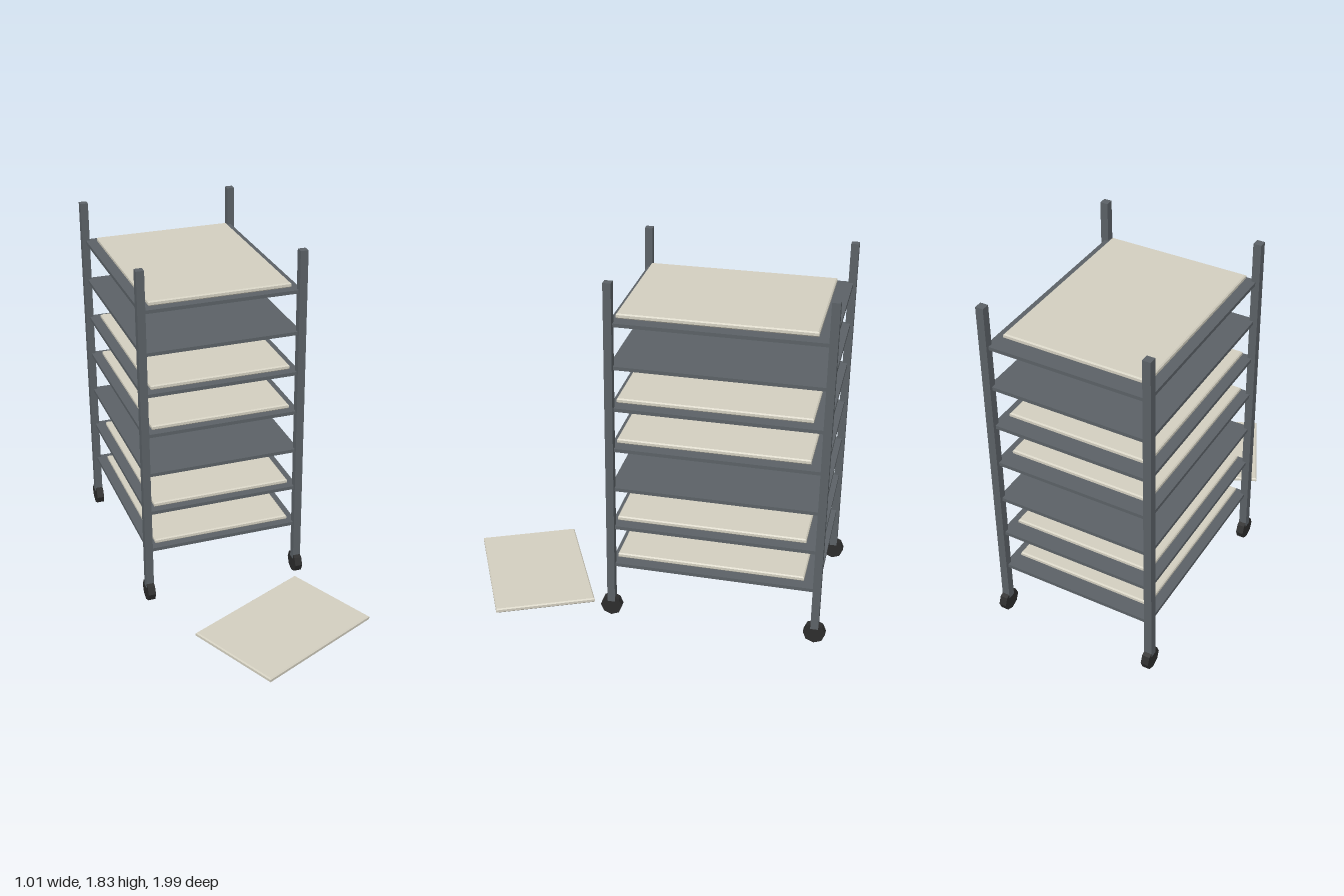
import * as THREE from 'three';

const frameMat = new THREE.MeshStandardMaterial({ color: 0x5b6166, flatShading: true });
const wheelMat = new THREE.MeshStandardMaterial({ color: 0x2c2c2c, flatShading: true });
const boardMat = new THREE.MeshStandardMaterial({ color: 0xd3cfc0, flatShading: true });

function add(parent, name, geometry, material, x, y, z) {
  const mesh = new THREE.Mesh(geometry, material);
  mesh.name = name;
  mesh.position.set(x, y, z);
  parent.add(mesh);
  return mesh;
}

// Flat board with small chamfers along its top and bottom edges
function boardGeometry(width, depth, thickness) {
  const c = 0.006;
  const w = width / 2 - c, d = depth / 2 - c;
  const shape = new THREE.Shape([
    new THREE.Vector2(-w, -d), new THREE.Vector2(w, -d),
    new THREE.Vector2(w, d), new THREE.Vector2(-w, d),
  ]);
  const geometry = new THREE.ExtrudeGeometry(shape, {
    depth: thickness - 2 * c, bevelEnabled: true, bevelSize: c, bevelThickness: c, bevelSegments: 1,
  });
  geometry.center();
  geometry.rotateX(-Math.PI / 2);
  return geometry;
}

export function createModel() {
  const model = new THREE.Group();
  model.name = 'trolleyWithBoards';

  const cart = new THREE.Group();
  cart.name = 'trolley';
  model.add(cart);
  const cx = -0.078, cz = -0.415;
  const halfW = 0.41, halfD = 0.527;

  // Four posts, each on an eight-sided wheel
  const postBottom = 0.08, postTop = 1.83;
  const postGeo = new THREE.BoxGeometry(0.04, postTop - postBottom, 0.04);
  const wheelGeo = new THREE.CylinderGeometry(0.056, 0.056, 0.039, 8);
  wheelGeo.rotateZ(Math.PI / 2);
  for (const sx of [-1, 1]) {
    for (const sz of [-1, 1]) {
      const x = cx + sx * halfW, z = cz + sz * halfD;
      add(cart, 'post', postGeo, frameMat, x, (postBottom + postTop) / 2, z);
      add(cart, 'wheel', wheelGeo, wheelMat, x, 0.056, z);
    }
  }

  // Seven shelves, five of them carrying a board
  const shelfGeo = new THREE.BoxGeometry(halfW * 2, 0.018, halfD * 2 + 0.008);
  const boardGeo = boardGeometry(0.727, 0.958, 0.025);
  const loaded = [0, 1, 3, 4, 6];
  for (let i = 0; i < 7; i++) {
    const y = 0.296 + i * 0.22;
    add(cart, 'shelf', shelfGeo, frameMat, cx, y, cz);
    if (loaded.includes(i)) add(cart, 'board', boardGeo, boardMat, cx, y + 0.028, -0.39);
  }

  // Smaller board lying on the floor in front
  const loose = add(model, 'floorBoard', boardGeometry(0.726, 0.519, 0.025), boardMat, 0.068, 0.025, 0.608);
  loose.rotation.y = THREE.MathUtils.degToRad(25);

  return model;
}
